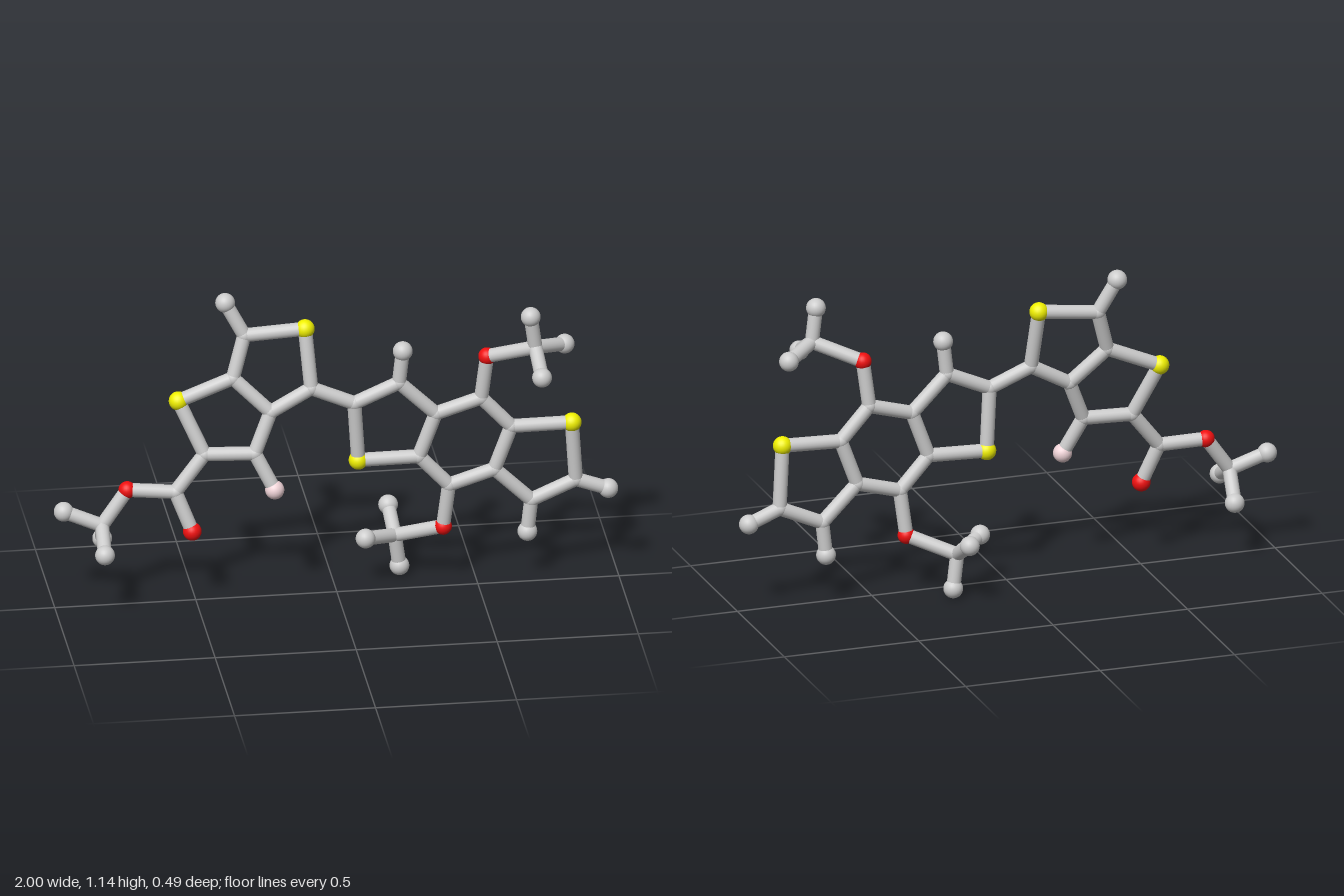
import * as THREE from 'three';

const grey = new THREE.MeshStandardMaterial({ color: 0xcccccc });
const yellow = new THREE.MeshStandardMaterial({ color: 0xf0f000 });
const red = new THREE.MeshStandardMaterial({ color: 0xf01010 });
const pink = new THREE.MeshStandardMaterial({ color: 0xf0d4d8 });

// Ball kinds, chosen by the first letter of the atom's key
const KINDS = {
  C: { name: 'carbonJoint', radius: 0.027, material: grey },
  H: { name: 'hydrogenBall', radius: 0.035, material: grey },
  S: { name: 'sulfurBall', radius: 0.034, material: yellow },
  O: { name: 'oxygenBall', radius: 0.033, material: red },
  E: { name: 'etherOxygenBall', radius: 0.031, material: red },
  F: { name: 'fluorineBall', radius: 0.034, material: pink },
};
const BOND_RADIUS = 0.025;
const ballGeometry = new THREE.SphereGeometry(1, 24, 16);
const rodGeometry = new THREE.CylinderGeometry(BOND_RADIUS, BOND_RADIUS, 1, 20);
const UP = new THREE.Vector3(0, 1, 0);

function ball(key, position) {
  const kind = KINDS[key[0]];
  const mesh = new THREE.Mesh(ballGeometry, kind.material);
  mesh.name = kind.name;
  mesh.position.copy(position);
  mesh.scale.setScalar(kind.radius);
  return mesh;
}

function bond(a, b) {
  const mesh = new THREE.Mesh(rodGeometry, grey);
  const dir = b.clone().sub(a);
  mesh.name = 'bond';
  mesh.position.copy(a).add(b).multiplyScalar(0.5);
  mesh.scale.y = dir.length();
  mesh.quaternion.setFromUnitVectors(UP, dir.normalize());
  return mesh;
}

// Balls plus rods; each chain is a run of keys joined one after another
function fragment(name, atoms, chains, place = (p) => p) {
  const group = new THREE.Group();
  group.name = name;
  const at = {};
  for (const [key, xyz] of Object.entries(atoms)) {
    at[key] = place(new THREE.Vector3(...xyz));
    group.add(ball(key, at[key]));
  }
  for (const chain of chains) {
    const keys = chain.split(' ');
    for (let i = 1; i < keys.length; i++) group.add(bond(at[keys[i - 1]], at[keys[i]]));
  }
  return { group, at };
}

export function createModel() {
  const model = new THREE.Group();
  model.name = 'molecule';

  // Two fused five-sided rings on the left of the picture plane
  const pair = fragment('fusedRingPair', {
    H1: [-0.385, 1.10, -0.08], C1: [-0.32, 0.98, -0.06], S1: [-0.107, 1.0, -0.042],
    C2: [-0.09, 0.786, -0.005], C3: [-0.235, 0.706, 0], C4: [-0.364, 0.829, -0.033],
    S2: [-0.556, 0.749, -0.043], C5: [-0.47, 0.56, 0.005], C6: [-0.294, 0.56, 0.022],
    F1: [-0.227, 0.428, 0.05],
  }, ['H1 C1 S1 C2 C3 C4 C1', 'C4 S2 C5 C6 C3', 'C6 F1']);

  // Ester side chain with its methyl end
  const ester = fragment('esterChain', {
    C7: [-0.575, 0.428, 0.02], O1: [-0.519, 0.285, 0.048], E1: [-0.743, 0.437, 0],
    C8: [-0.834, 0.31, 0.01], H1: [-0.967, 0.362, -0.01],
    H2: [-0.84, 0.25, 0.133], H3: [-0.82, 0.217, -0.086],
  }, ['O1 C7 E1 C8 H1', 'H2 C8 H3']);

  // Half of the three-ring core; the other half is its reflection through the centre
  const half = {
    C1: [0.513, 0.711, -0.01], E1: [0.532, 0.876, 0.004], C2: [0.692, 0.938, 0.088],
    H1: [0.674, 1.06, 0.097], H2: [0.807, 0.907, 0.003], H3: [0.70, 0.87, 0.2],
    C3: [0.62, 0.594, -0.012], S1: [0.834, 0.599, -0.005], C4: [0.85, 0.372, -0.02],
    C5: [0.692, 0.302, -0.022], H4: [0.679, 0.18, -0.025], C6: [0.561, 0.43, -0.018],
  };
  const chains = ['C1 C3 S1 C4 C5 C6 C3', 'C1 E1 C2 H1', 'H2 C2 H3', 'C5 H4'];
  const centre = new THREE.Vector3(0.456, 0.547, -0.01);
  const reflect = (p) => centre.clone().multiplyScalar(2).sub(p);
  const outer = fragment('coreOuterHalf', half, chains);
  const inner = fragment('coreInnerHalf', half, chains, reflect);

  // Hydrogen on the far end of the core
  const tip = new THREE.Vector3(0.966, 0.328, -0.025);
  outer.group.add(ball('H', tip), bond(outer.at.C4, tip));

  // Rods joining the fragments
  const links = new THREE.Group();
  links.name = 'linkingBonds';
  links.add(
    bond(outer.at.C6, inner.at.C1), bond(inner.at.C6, outer.at.C1),
    bond(inner.at.C4, pair.at.C2), bond(pair.at.C5, ester.at.C7),
  );

  model.add(pair.group, ester.group, outer.group, inner.group, links);
  return model;
}
